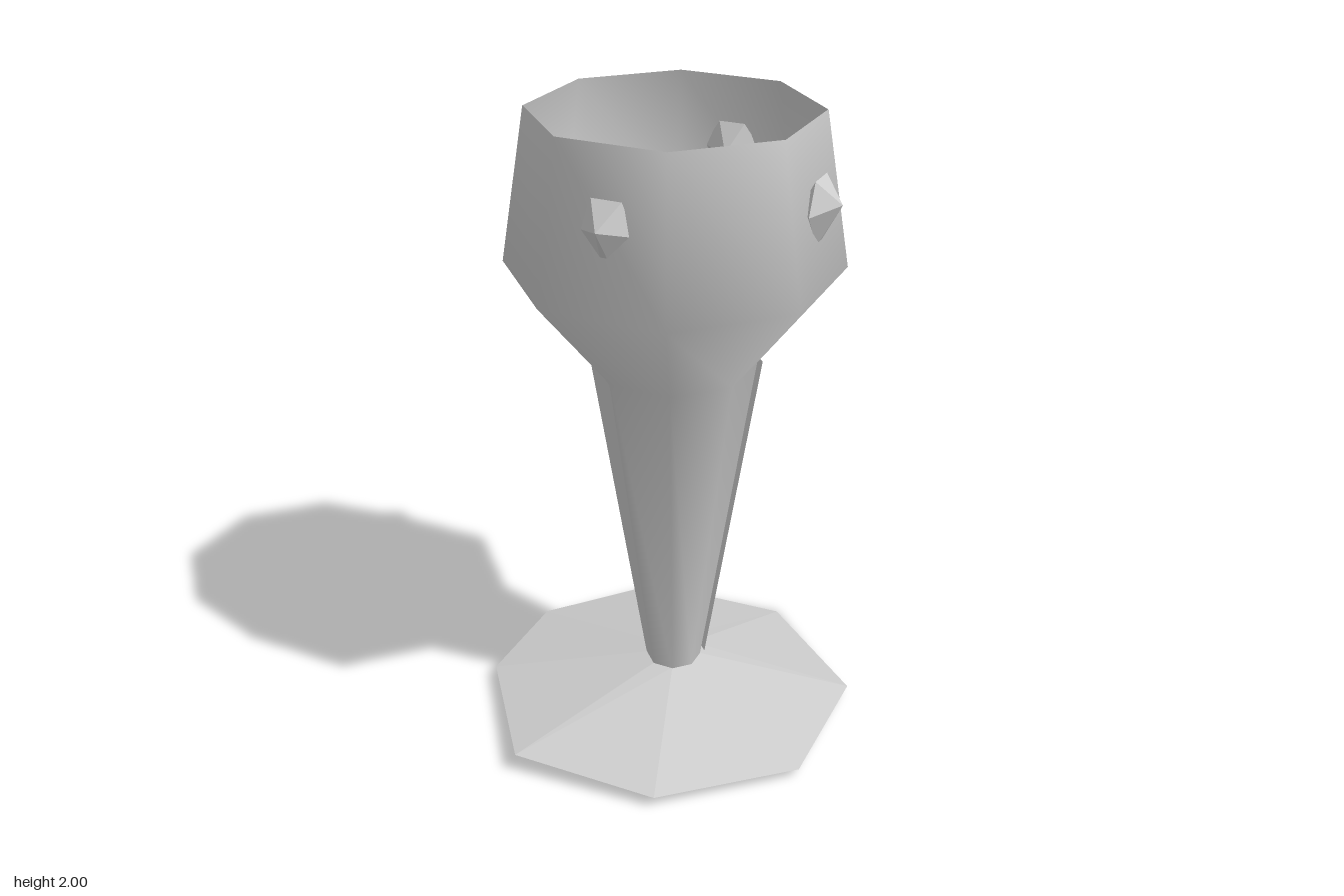
import * as THREE from 'three';

const CX = 0.02, CZ = -0.005; // axis of cup and stem
const SIDES = 8;
const K = 1 / Math.cos(Math.PI / SIDES); // flat half-width -> corner radius

const grey = (extra = {}) => new THREE.MeshStandardMaterial({ color: 0xcccccc, ...extra });

function add(parent, geometry, name, material) {
  const mesh = new THREE.Mesh(geometry, material);
  mesh.name = name;
  parent.add(mesh);
  return mesh;
}

// Smooth eight-sided turned form, from [half-width, height] pairs
function octagonLathe(profile) {
  const pts = profile.map(([r, y]) => new THREE.Vector2(r * K, y));
  const g = new THREE.LatheGeometry(pts, SIDES, Math.PI / SIDES);
  return g.translate(CX, 0, CZ);
}

// Flat-shaded geometry from a list of triangles of Vector3
function facets(triangles) {
  const g = new THREE.BufferGeometry().setFromPoints(triangles.flat());
  g.computeVertexNormals();
  return g;
}

// Flat strip lying over one diagonal face of the stem
function stemPanel(angle, offset) {
  const corner = (r, y, side) => {
    const a = angle + side * Math.PI / SIDES;
    return new THREE.Vector3(
      CX + Math.sin(a) * r * K + Math.sin(angle) * offset, y,
      CZ + Math.cos(a) * r * K + Math.cos(angle) * offset);
  };
  const [a, b, c, d] = [corner(0.08, 0.16, -1), corner(0.08, 0.16, 1),
    corner(0.23, 1.23, 1), corner(0.23, 1.23, -1)];
  return facets([[a, b, c], [a, c, d]]);
}

// Six-cornered jewel with a point outward (+z) and one inward
function jewelGeometry() {
  const ring = [[-0.045, 0.09], [-0.085, 0], [-0.015, -0.1], [0.015, -0.1], [0.085, 0], [0.045, 0.09]]
    .map(([x, y]) => new THREE.Vector3(x, y, 0));
  const tip = new THREE.Vector3(0, 0.02, 0.065);
  const back = new THREE.Vector3(0, 0, -0.055);
  const tris = [];
  ring.forEach((p, i) => {
    const q = ring[(i + 1) % ring.length];
    tris.push([p, q, tip], [q, p, back]);
  });
  return facets(tris);
}

// Uneven eight-sided foot: sloping petals above, shallow underside below
function buildFoot() {
  const foot = new THREE.Group();
  foot.name = 'foot';
  const rim = [
    [0.21, 0.035, 0.54], [0.56, 0.03, 0.225], [0.56, 0.03, -0.235], [0.17, 0, -0.58],
    [-0.29, 0.03, -0.51], [-0.56, 0.045, -0.165], [-0.56, 0.04, 0.19], [-0.255, 0.06, 0.575],
  ].map((p) => new THREE.Vector3(...p));
  const collar = rim.map((_, i) => {
    const a = Math.PI / SIDES + i * 2 * Math.PI / SIDES;
    return new THREE.Vector3(CX + Math.sin(a) * 0.085, 0.155, CZ + Math.cos(a) * 0.085);
  });
  const middle = new THREE.Vector3(0, 0.035, 0);
  const under = [];
  rim.forEach((p, i) => {
    const j = (i + 1) % SIDES;
    add(foot, facets([[p, rim[j], collar[j]], [p, collar[j], collar[i]]]),
      'footPetal', grey({ side: THREE.DoubleSide }));
    under.push([rim[j], p, middle]);
  });
  add(foot, facets(under).translate(0, -0.002, 0), 'footUnderside', grey());
  return foot;
}

export function createModel() {
  const model = new THREE.Group();
  model.name = 'goblet';

  // Stem and bowl in one smooth skin
  add(model, octagonLathe([[0.08, 0.14], [0.23, 1.23], [0.463, 1.54], [0.39, 2]]),
    'stemAndBowl', grey());

  // Inside of the bowl, just under the outer skin
  add(model, octagonLathe([[0.388, 2], [0.458, 1.54], [0.225, 1.235], [0, 1.2]]),
    'bowlInside', grey());

  // Strips on two opposite diagonals of the stem
  add(model, stemPanel(-Math.PI / 4, 0.004), 'stemPanel', grey({ side: THREE.DoubleSide }));
  add(model, stemPanel(3 * Math.PI / 4, 0.018), 'stemPanel', grey({ side: THREE.DoubleSide }));

  // Jewels around the bowl
  const jewel = jewelGeometry();
  for (let i = 0; i < 4; i++) {
    const a = i * Math.PI / 2;
    const r = i % 2 ? 0.435 : 0.415;
    const mesh = add(model, jewel, 'jewel', grey());
    mesh.position.set(CX + Math.sin(a) * r, 1.77, CZ + Math.cos(a) * r);
    mesh.rotation.y = a;
  }

  model.add(buildFoot());
  return model;
}
